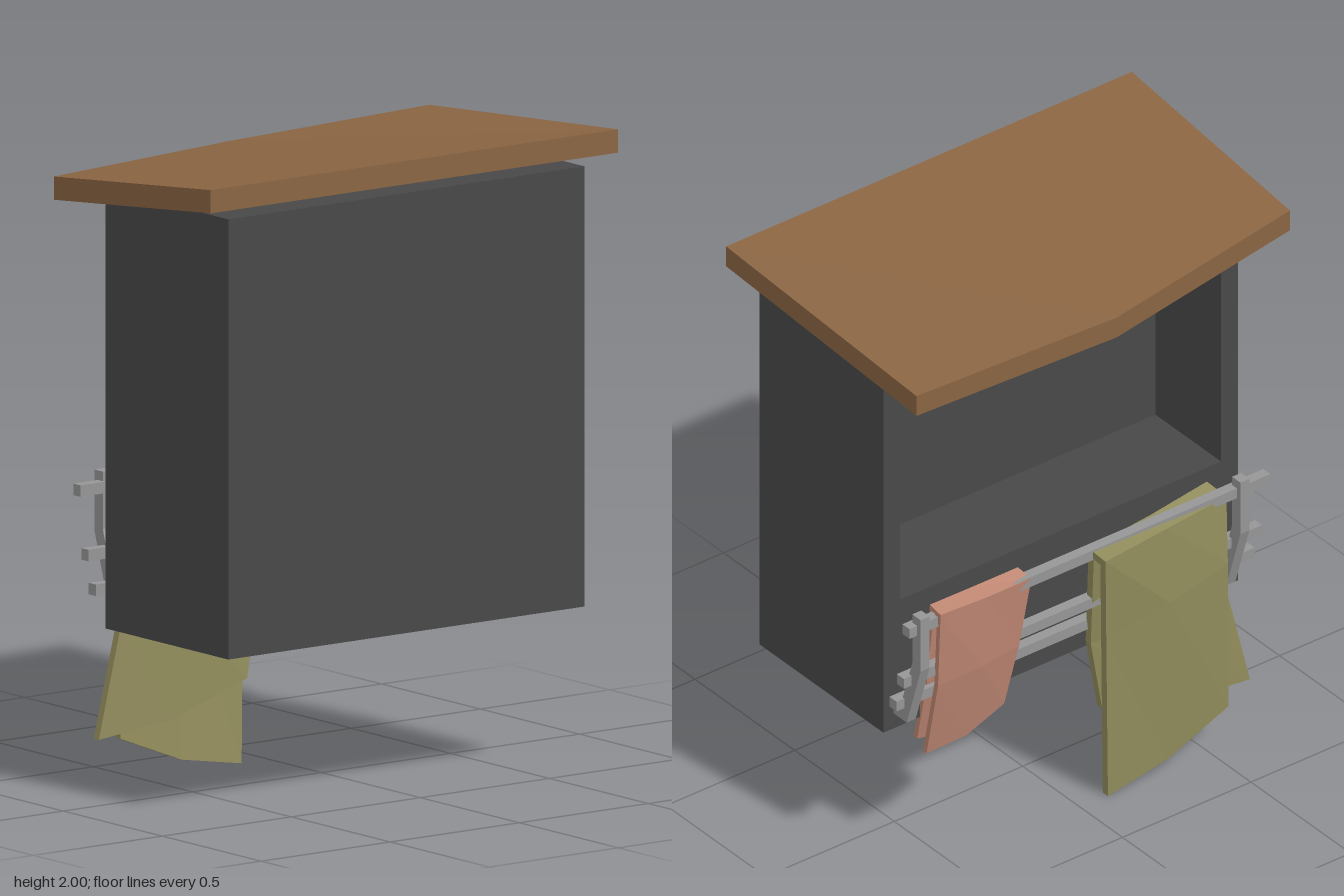
import * as THREE from 'three';

const mat = (color) => new THREE.MeshStandardMaterial({ color, flatShading: true, side: THREE.DoubleSide });

function add(parent, name, geometry, material, x = 0, y = 0, z = 0) {
  const mesh = new THREE.Mesh(geometry, material);
  mesh.name = name;
  mesh.position.set(x, y, z);
  parent.add(mesh);
  return mesh;
}

// Joins closed rings of points; capTris closes the first ring and, reversed, the last
function loft(rings, capTris) {
  const n = rings[0].length, last = rings.length - 1, index = [];
  for (let j = 0; j < last; j++) {
    for (let i = 0; i < n; i++) {
      const a = j * n + i, b = j * n + (i + 1) % n, c = a + n, d = b + n;
      index.push(a, c, b, b, c, d);
    }
  }
  for (const [a, b, c] of capTris) {
    index.push(a, b, c, last * n + a, last * n + c, last * n + b);
  }
  const g = new THREE.BufferGeometry();
  g.setAttribute('position', new THREE.Float32BufferAttribute(rings.flat(2), 3));
  g.setIndex(index);
  const flat = g.toNonIndexed();
  flat.computeVertexNormals();
  return flat;
}

// Cloth folded over a rail. Each column runs from the outer hem, over the top, to the inner hem.
function cloth(columns, t) {
  const lining = [[0, 0, t], [0, 0, t], [0, -t, t], [0, -t, -t], [0, 0, -t], [0, 0, -t]];
  const rings = columns.map((col) => {
    const inside = col.map((p, i) => p.map((v, k) => v + lining[i][k]));
    return [...col, ...inside.reverse()];
  });
  const caps = [];
  for (let i = 0; i < 5; i++) caps.push([i, i + 1, 11 - i], [i + 1, 10 - i, 11 - i]);
  return loft(rings, caps);
}

export function createModel() {
  const model = new THREE.Group();
  model.name = 'cabinet';
  const dark = mat(0x484848), wood = mat(0x8a6542), metal = mat(0x969696);
  const olive = mat(0x928d5c), pink = mat(0xbf8773);

  // Body: a frame with a recess open at the back, closed by a thick front
  const frame = new THREE.Shape();
  frame.moveTo(-0.69, 0.51).lineTo(0.69, 0.51).lineTo(0.69, 1.89).lineTo(-0.69, 1.89).closePath();
  const opening = new THREE.Path();
  opening.moveTo(-0.625, 0.975).lineTo(-0.625, 1.83).lineTo(0.625, 1.83).lineTo(0.625, 0.975).closePath();
  frame.holes.push(opening);
  add(model, 'bodyFrame', new THREE.ExtrudeGeometry(frame, { depth: 0.33, bevelEnabled: false }), dark, 0, 0, -0.19);
  add(model, 'bodyFront', new THREE.BoxGeometry(1.38, 1.38, 0.29), dark, 0, 1.2, 0.285);

  // Crooked sloping counter top
  const top = [[0, 1.91, -0.472], [-0.78, 1.915, -0.335], [-0.79, 2, 0.47], [0.79, 2, 0.47], [0.775, 1.932, -0.465]];
  const under = top.map(([x, y, z]) => [x, y - 0.073, z]);
  add(model, 'counterTop', loft([top, under], [[0, 1, 2], [0, 2, 3], [0, 3, 4]]), wood);

  // Bent brackets on the back
  const profile = new THREE.Shape([
    [-0.283, 0.98], [-0.325, 0.98], [-0.325, 0.79], [-0.255, 0.565],
    [-0.19, 0.565], [-0.19, 0.6], [-0.222, 0.605], [-0.283, 0.8],
  ].map(([z, y]) => new THREE.Vector2(z, y)));
  const bracket = new THREE.ExtrudeGeometry(profile, { depth: 0.035, bevelEnabled: false });
  bracket.rotateY(-Math.PI / 2);
  add(model, 'leftBracket', bracket, metal, 0.65);
  add(model, 'rightBracket', bracket, metal, -0.595);

  // Towel rails
  for (const [y, z, end] of [[0.932, -0.29, 0.725], [0.733, -0.262, 0.715], [0.63, -0.225, 0.715]]) {
    add(model, 'towelRail', new THREE.BoxGeometry(0.68 + end, 0.036, 0.036), metal, (0.68 - end) / 2, y, z);
  }

  // Large towel
  add(model, 'largeTowel', cloth([
    [[-0.105, 0.005, -0.292], [-0.065, 0.63, -0.335], [-0.035, 0.94, -0.37],
      [-0.035, 0.945, -0.285], [-0.07, 0.56, -0.225], [-0.13, 0.285, -0.205]],
    [[-0.34, 0.045, -0.29], [-0.31, 0.66, -0.34], [-0.3, 0.935, -0.335],
      [-0.3, 0.945, -0.255], [-0.37, 0.55, -0.215], [-0.42, 0.19, -0.205]],
    [[-0.58, 0.14, -0.285], [-0.55, 0.7, -0.32], [-0.56, 0.93, -0.3],
      [-0.55, 0.945, -0.215], [-0.61, 0.53, -0.21], [-0.705, 0.16, -0.205]],
  ], 0.026), olive);

  // Small towel
  add(model, 'smallTowel', cloth([
    [[0.555, 0.4, -0.232], [0.555, 0.68, -0.29], [0.57, 0.965, -0.322],
      [0.565, 0.97, -0.262], [0.55, 0.66, -0.21], [0.545, 0.42, -0.155]],
    [[0.41, 0.415, -0.245], [0.39, 0.69, -0.3], [0.39, 0.955, -0.32],
      [0.39, 0.965, -0.258], [0.39, 0.66, -0.21], [0.39, 0.39, -0.152]],
    [[0.265, 0.475, -0.248], [0.235, 0.7, -0.285], [0.205, 0.945, -0.308],
      [0.215, 0.96, -0.252], [0.24, 0.66, -0.21], [0.26, 0.405, -0.155]],
  ], 0.018), pink);

  return model;
}
